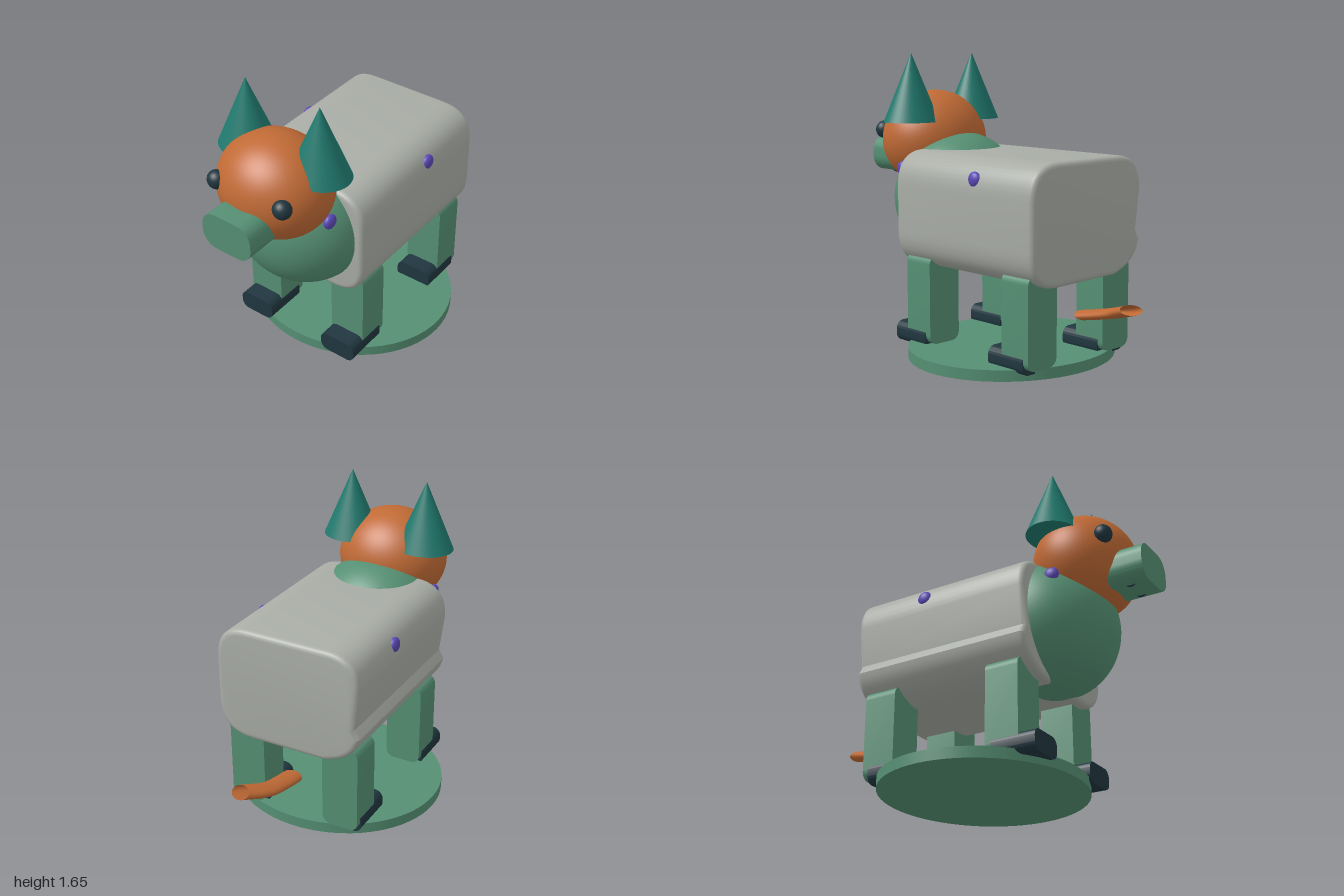
import * as THREE from 'three';
import { toCreasedNormals } from 'three/addons/utils/BufferGeometryUtils.js';

const mat = (name, color, side = THREE.FrontSide) => new THREE.MeshStandardMaterial({ name, color, side });

// Rounded rectangle in XY, centred on the origin
function roundedRect(w, h, r) {
  const s = new THREE.Shape();
  s.absarc(w / 2 - r, h / 2 - r, r, 0, Math.PI / 2);
  s.absarc(r - w / 2, h / 2 - r, r, Math.PI / 2, Math.PI);
  s.absarc(r - w / 2, r - h / 2, r, Math.PI, Math.PI * 1.5);
  s.absarc(w / 2 - r, r - h / 2, r, Math.PI * 1.5, Math.PI * 2);
  return s;
}

// Bar with a rounded XY outline, centred on the origin along z
function roundedBar(w, h, d, r) {
  const g = new THREE.ExtrudeGeometry(roundedRect(w, h, r), { depth: d, bevelEnabled: false, curveSegments: 8 });
  g.translate(0, 0, -d / 2);
  return toCreasedNormals(g, 0.6);
}

export function createModel() {
  const model = new THREE.Group();
  model.name = 'toyAnimal';

  const green = mat('green', 0x558f73);
  const grey = mat('grey', 0xa9ada6);
  const orange = mat('orange', 0xc06a35);
  const tailOrange = orange;
  tailOrange.side = THREE.DoubleSide;
  const teal = mat('teal', 0x20796e);
  const dark = mat('darkSlate', 0x20363f);
  const purple = mat('purple', 0x5b48b5);

  const add = (name, geo, material, x, y, z) => {
    const m = new THREE.Mesh(geo, material);
    m.name = name;
    m.position.set(x, y, z);
    model.add(m);
    return m;
  };
  const ball = (name, material, x, y, z, rx, ry, rz, n = 40) => {
    const m = add(name, new THREE.SphereGeometry(1, n, Math.round(n * 0.7)), material, x, y, z);
    m.scale.set(rx, ry, rz);
    return m;
  };

  // Oval stand
  add('base', new THREE.CylinderGeometry(0.6, 0.6, 0.06, 64), green, 0, 0.03, -0.055).scale.z = 0.908;

  // Body: rounded outline with a pinched crease low on its right side
  const outline = new THREE.Shape();
  outline.moveTo(-0.22, 0.485);
  outline.lineTo(0.22, 0.48);
  outline.quadraticCurveTo(0.42, 0.48, 0.42, 0.68);
  outline.lineTo(0.42, 0.93);
  outline.quadraticCurveTo(0.42, 1.12, 0.23, 1.12);
  outline.lineTo(-0.23, 1.12);
  outline.quadraticCurveTo(-0.42, 1.12, -0.42, 0.93);
  outline.lineTo(-0.392, 0.71);
  outline.lineTo(-0.42, 0.66);
  outline.quadraticCurveTo(-0.4, 0.53, -0.22, 0.485);
  const body = new THREE.ExtrudeGeometry(outline, {
    depth: 0.99, bevelThickness: 0.03, bevelSize: 0.03, bevelOffset: -0.03, bevelSegments: 4, curveSegments: 10,
  });
  add('body', toCreasedNormals(body, 0.6), grey, 0, 0, -0.585);

  // Chest and head
  ball('chest', green, 0, 0.835, 0.378, 0.38, 0.37, 0.355, 56);
  ball('head', orange, 0, 1.155, 0.59, 0.315, 0.28, 0.28, 56);
  add('snout', roundedBar(0.305, 0.205, 0.29, 0.085), green, 0, 1.053, 0.83);

  const leg = roundedBar(0.21, 0.495, 0.19, 0.05);
  const foot = roundedBar(0.22, 0.115, 0.25, 0.045);
  for (const s of [1, -1]) {
    const side = s > 0 ? 'left' : 'right';

    // Ears, eyes and tiny mouth corners
    const ear = add(side + 'Ear', new THREE.ConeGeometry(0.165, 0.385, 40), teal, s * 0.23, 1.4575, 0.52);
    ear.scale.z = 0.89;
    ball(side + 'Eye', dark, s * 0.208, 1.205, 0.795, 0.051, 0.051, 0.048, 24);
    ball(side + 'MouthCorner', dark, s * 0.065, 0.952, 0.87, 0.008, 0.012, 0.025, 10);

    // Coloured spots on the flank and chest
    ball(side + 'FlankSpot', purple, s * 0.4, 1.01, -0.185, 0.027, 0.042, 0.042, 24);
    ball(side + 'ChestSpot', purple, s * 0.29, 1.005, 0.53, 0.027, 0.04, 0.042, 24);

    // Legs with feet reaching forward
    for (const [end, z] of [['Front', 0.285], ['Back', -0.465]]) {
      add(side + end + 'Leg', leg, green, s * 0.285, 0.3075, z);
      add(side + end + 'Foot', foot, dark, s * 0.285, 0.0925, z + 0.065);
    }
  }

  // Flattened tail curling to the left
  const flat = 0.4;
  const path = new THREE.CatmullRomCurve3([
    [-0.003, 0.298, -0.575], [-0.003, 0.322, -0.69], [0.005, 0.352, -0.81], [0.068, 0.4, -0.955],
  ].map(([x, y, z]) => new THREE.Vector3(x, y / flat, z)));
  add('tail', new THREE.TubeGeometry(path, 32, 0.06, 20), tailOrange, 0, 0, 0).scale.y = flat;

  return model;
}
